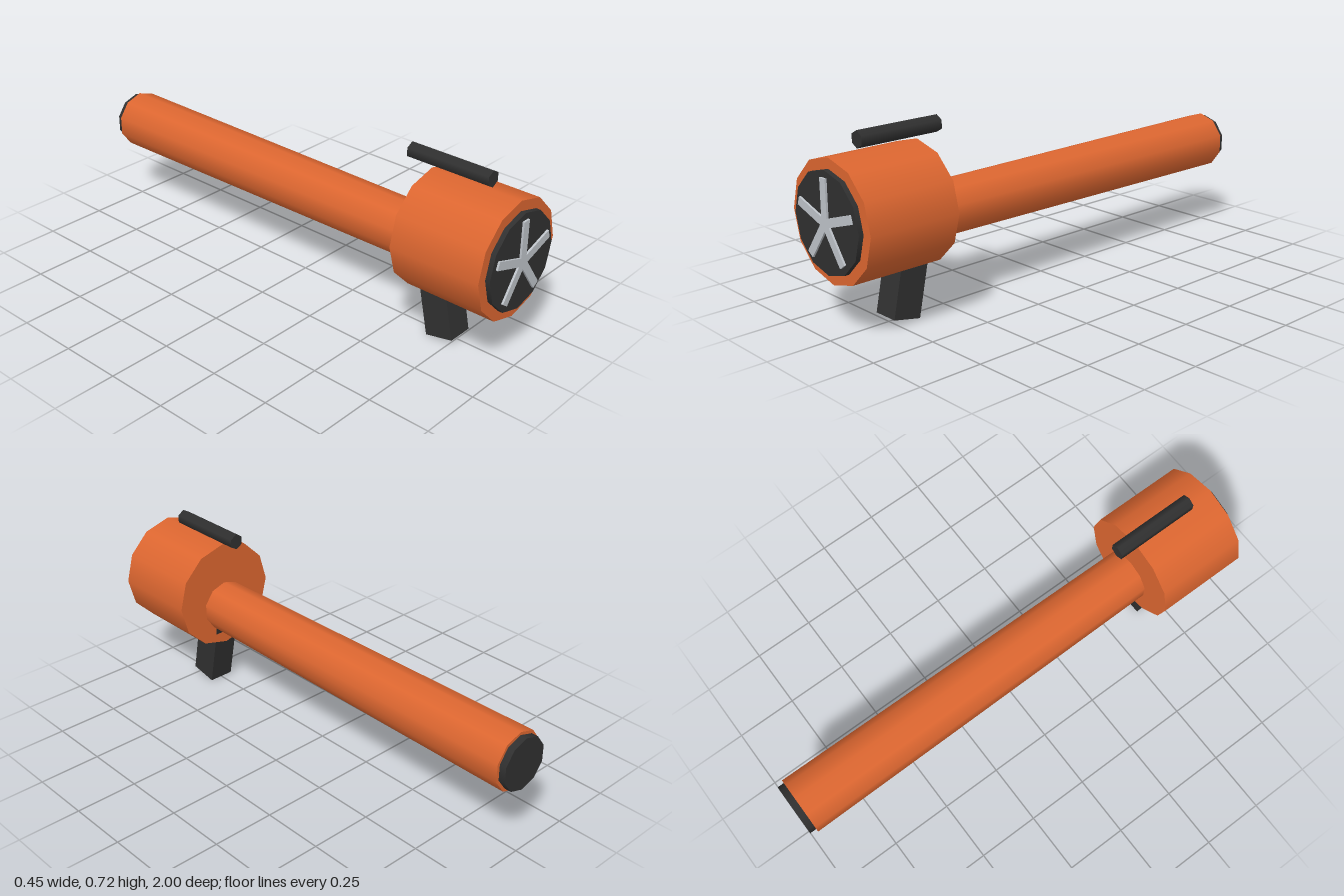
import * as THREE from 'three';

export function createModel() {
  const model = new THREE.Group();
  const material = (name, color) => {
    const m = new THREE.MeshStandardMaterial({ color });
    m.name = name;
    return m;
  };
  const orange = material('orange', 0xdc6630);
  const black = material('black', 0x303030);
  const grey = material('lightGrey', 0xbec3c9);

  const add = (name, geometry, mat) => {
    const mesh = new THREE.Mesh(geometry, mat);
    mesh.name = name;
    model.add(mesh);
    return mesh;
  };

  // Faceted cylinder lying along z from zBack to zFront
  const barrel = (name, mat, rFront, rBack, zBack, zFront, y, sides) => {
    const g = new THREE.CylinderGeometry(rFront, rBack, zFront - zBack, sides);
    g.rotateX(Math.PI / 2);
    add(name, g, mat).position.set(0, y, (zFront + zBack) / 2);
  };

  const drumY = 0.423;
  const tubeY = 0.371;

  // Fan housing, intake plate, blower tube and its end
  barrel('fanHousing', orange, 0.2265, 0.2265, 0.6, 0.973, drumY, 12);
  barrel('intakePlate', black, 0.187, 0.187, 0.95, 0.992, drumY, 12);
  barrel('blowerTube', orange, 0.105, 0.117, -0.973, 0.62, tubeY, 10);
  barrel('nozzleEnd', black, 0.105, 0.105, -1, -0.95, tubeY, 10);

  // Rod on top
  barrel('topRod', black, 0.032, 0.032, 0.509, 0.855, 0.69, 6);

  // Five fan blades on the intake plate
  for (let i = 0; i < 5; i++) {
    const blade = new THREE.BoxGeometry(0.032, 0.16, 0.02);
    blade.translate(0, 0.08, 0);
    const mesh = add('fanBlade' + (i + 1), blade, grey);
    mesh.position.set(0, drumY, 0.99);
    mesh.rotation.z = (i * Math.PI * 2) / 5;
  }

  // Slanted handle, its upper end inside the housing
  const grip = new THREE.BoxGeometry(0.106, 0.3, 0.116);
  grip.translate(0, 0.15, 0);
  const handle = add('handle', grip, black);
  handle.position.set(0, 0.0115, 0.707);
  handle.rotation.x = -0.2;

  return model;
}
